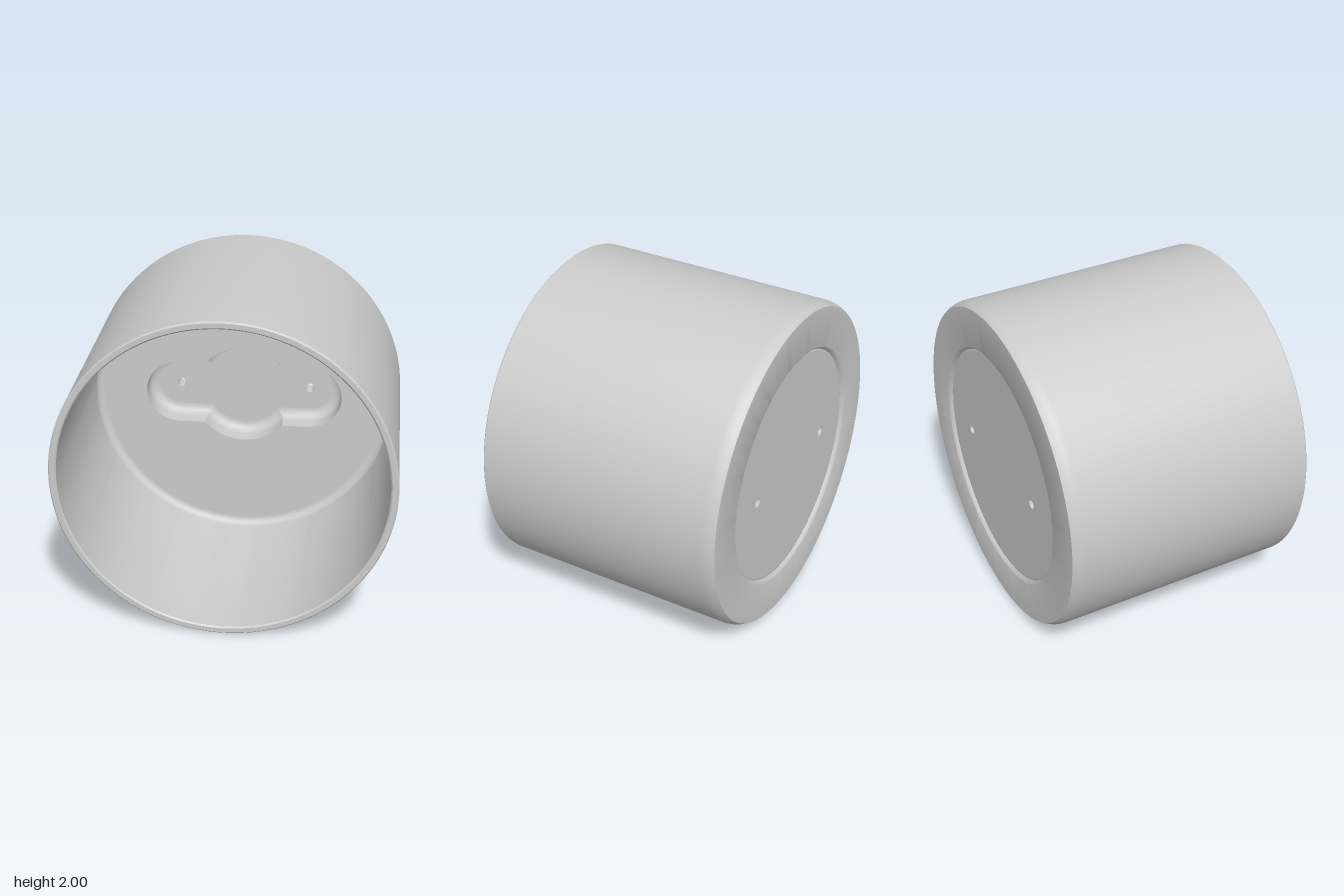
import * as THREE from 'three';
import { toCreasedNormals } from 'three/addons/utils/BufferGeometryUtils.js';

const BACK = -0.76, FRONT = 0.76, RECESS = -0.74, FLOOR = -0.48, POCKET = -0.63;
const HOLE_X = 0.42, HOLE_R = 0.03, SEG = 128;

// Quarter-circle fillet points between angles a0 and a1
function arc(cx, cy, r, a0, a1, n = 6) {
  return Array.from({ length: n + 1 }, (_, i) => {
    const a = a0 + (a1 - a0) * i / n;
    return new THREE.Vector2(cx + r * Math.cos(a), cy + r * Math.sin(a));
  });
}

// Outline of a slot joined with a central circle, inset by d
function pocketOutline(d) {
  const r = 0.21 - d, R = 0.325 - d;
  const cusp = Math.atan2(r, Math.sqrt(R * R - r * r));
  const q = [...arc(HOLE_X, 0, r, 0, Math.PI / 2, 16), ...arc(0, 0, R, cusp, Math.PI / 2, 16)];
  const half = [...q, ...q.slice(0, -1).reverse().map(p => new THREE.Vector2(-p.x, p.y))];
  return [...half, ...half.slice(1, -1).reverse().map(p => new THREE.Vector2(p.x, -p.y))];
}

// Surface through equal-length rings, each { pts, z }
function loft(rings) {
  const pos = [], index = [], n = rings[0].pts.length;
  for (const { pts, z } of rings) for (const p of pts) pos.push(p.x, p.y, z);
  for (let k = 0; k < rings.length - 1; k++) {
    for (let i = 0; i < n; i++) {
      const a = k * n + i, b = k * n + (i + 1) % n;
      index.push(a, b, a + n, b, b + n, a + n);
    }
  }
  const g = new THREE.BufferGeometry();
  g.setAttribute('position', new THREE.Float32BufferAttribute(pos, 3));
  g.setIndex(index);
  return toCreasedNormals(g, 0.6);
}

// Flat face with holes; back = true turns it to face -z
function plate(outline, holes, z, back = false) {
  const shape = new THREE.Shape(outline);
  holes.forEach(h => shape.holes.push(new THREE.Path(h)));
  const g = new THREE.ShapeGeometry(shape);
  if (back) g.rotateY(Math.PI);
  return g.translate(0, 0, z);
}

const circle = (r, x = 0, n = SEG) => arc(x, 0, r, 0, Math.PI * 2, n).slice(0, -1);

export function createModel() {
  const model = new THREE.Group();
  const body = new THREE.Group();
  body.name = 'cup';
  body.position.y = 1;
  model.add(body);
  const material = new THREE.MeshStandardMaterial({ color: 0xcccccc, side: THREE.DoubleSide });
  const add = (name, geometry) => {
    const mesh = new THREE.Mesh(geometry, material);
    mesh.name = name;
    body.add(mesh);
  };

  // Outer wall, rim and inner wall as one revolved profile
  const profile = [
    [0.705, RECESS], [0.715, RECESS + 0.003], [0.728, BACK + 0.003], [0.735, BACK],
    [0.975, BACK], [0.987, -0.74], [0.996, -0.715], [1, -0.685], [1, FRONT - 0.008],
    [0.992, FRONT], [0.963, FRONT], [0.955, FRONT - 0.008]
  ].map(([x, y]) => new THREE.Vector2(x, y));
  profile.push(...arc(0.905, FLOOR + 0.05, 0.05, 0, -Math.PI / 2, 8));
  add('shell', toCreasedNormals(new THREE.LatheGeometry(profile, SEG).rotateX(Math.PI / 2), 0.6));

  // Inner floor with the pocket cut into it
  add('innerFloor', plate(circle(0.905), [pocketOutline(0)], FLOOR));

  // Pocket wall with a rounded bottom edge
  const f = 0.06;
  const rings = [{ pts: pocketOutline(0), z: FLOOR }];
  for (let i = 0; i <= 6; i++) {
    const a = i / 6 * Math.PI / 2;
    rings.push({ pts: pocketOutline(f * (1 - Math.cos(a))), z: POCKET + f * (1 - Math.sin(a)) });
  }
  add('pocketWall', loft(rings));

  // Pocket floor and recessed back face, both pierced by the screw holes
  const holes = () => [-HOLE_X, HOLE_X].map(x => circle(HOLE_R, x, 24));
  add('pocketFloor', plate(pocketOutline(f), holes(), POCKET));
  add('backFace', plate(circle(0.705), holes(), RECESS, true));

  // Screw hole walls
  for (const [x, name] of [[HOLE_X, 'leftScrewHole'], [-HOLE_X, 'rightScrewHole']]) {
    const g = new THREE.CylinderGeometry(HOLE_R, HOLE_R, POCKET - RECESS, 24, 1, true);
    add(name, g.rotateX(Math.PI / 2).translate(x, 0, (POCKET + RECESS) / 2));
  }
  return model;
}
